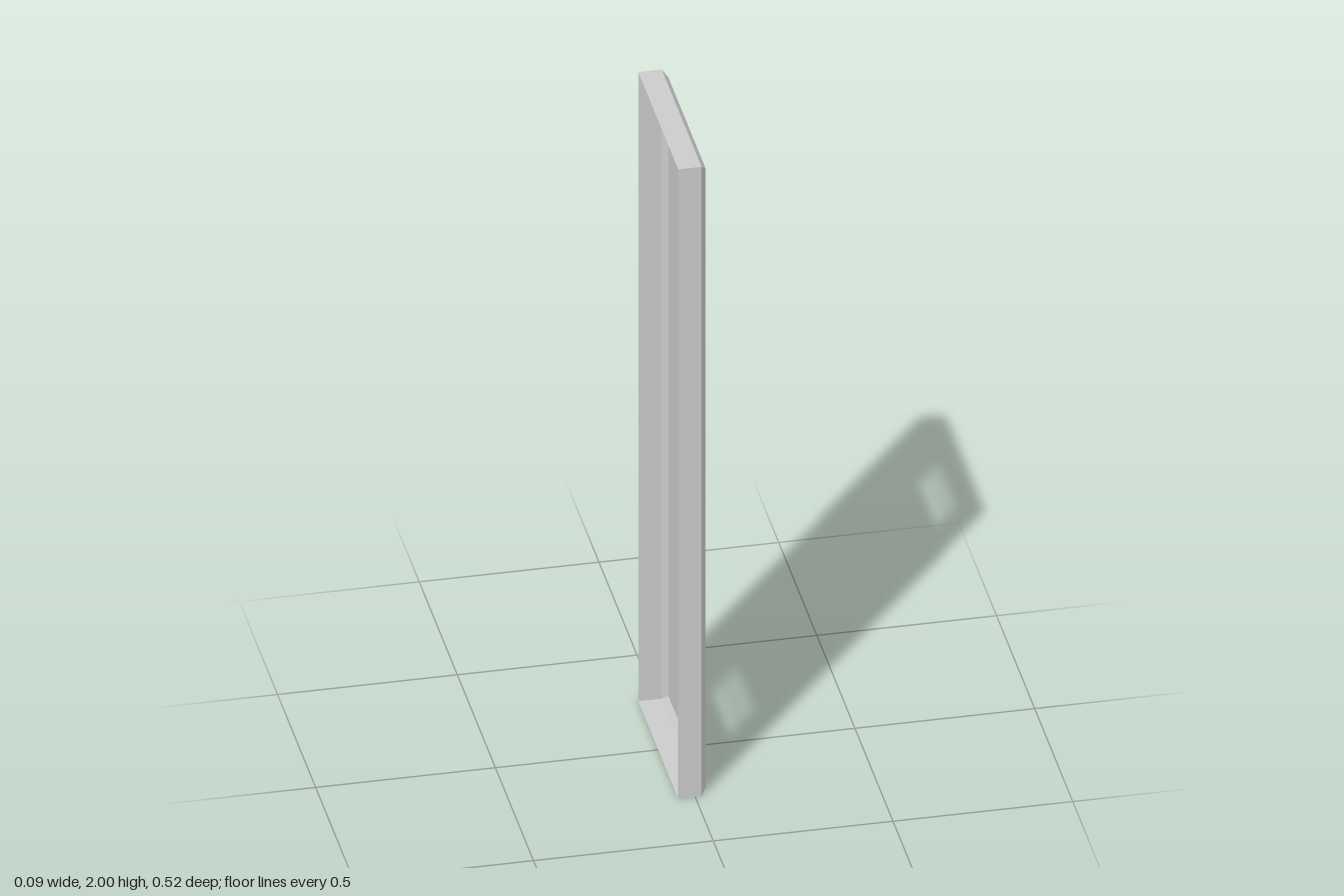
import * as THREE from 'three';
import { toCreasedNormals } from 'three/addons/utils/BufferGeometryUtils.js';

const material = new THREE.MeshStandardMaterial({ color: 0xcccccc, side: THREE.DoubleSide });

// Parts are drawn in a flat frame (u right, y up, d out of the door) and turned to face +x at the end.
const HALF = 0.262, BACK = -0.047, BEND = 0.018, FACE = 0.033, BEVEL = 0.017;

function addMesh(parent, name, geometry) {
  const mesh = new THREE.Mesh(geometry, material);
  mesh.name = name;
  parent.add(mesh);
  return mesh;
}

// Counter-clockwise outline; corners are [u, y, startAngle] arcs of radius r
function arcs(corners, r, steps = 6) {
  const pts = [];
  for (const [u, y, start] of corners)
    for (let i = 0; i <= steps; i++) {
      const a = start + (i / steps) * Math.PI / 2;
      pts.push([u + r * Math.cos(a), y + r * Math.sin(a)]);
    }
  return pts;
}

function roundRect(u0, u1, y0, y1, r) {
  return arcs([
    [u1 - r, y0 + r, -Math.PI / 2], [u1 - r, y1 - r, 0],
    [u0 + r, y1 - r, Math.PI / 2], [u0 + r, y0 + r, Math.PI],
  ], r);
}

// Flat bottom, rounded top corners
function arch(half, y0, y1, r) {
  return [[half, y0], ...arcs([[half - r, y1 - r, 0], [-half + r, y1 - r, Math.PI / 2]], r), [-half, y0]];
}

function rect(half, y0, y1) {
  return [[half, y0], [half, y1], [-half, y1], [-half, y0]];
}

// Skin between successive rings {pts, d}, with an optional cap on the last one
function loft(rings, { closed = true, cap = false, crease = 0.6 } = {}) {
  const pos = [];
  const put = (ring, i) => pos.push(...ring.pts[i % ring.pts.length], ring.d);
  const n = rings[0].pts.length;
  for (let k = 0; k < rings.length - 1; k++) {
    const a = rings[k], b = rings[k + 1];
    for (let i = 0; i < (closed ? n : n - 1); i++) {
      put(a, i); put(a, i + 1); put(b, i + 1);
      put(a, i); put(b, i + 1); put(b, i);
    }
  }
  if (cap) {
    const last = rings[rings.length - 1];
    for (let i = 1; i < n - 1; i++) { put(last, 0); put(last, i); put(last, i + 1); }
  }
  const geometry = new THREE.BufferGeometry();
  geometry.setAttribute('position', new THREE.Float32BufferAttribute(pos, 3));
  return toCreasedNormals(geometry, crease);
}

const toVectors = (pts) => pts.map(([u, y]) => new THREE.Vector2(u, y));

export function createModel() {
  const model = new THREE.Group();
  model.name = 'lockerDoor';
  const door = new THREE.Group();
  door.name = 'door';
  door.rotation.y = Math.PI / 2;
  model.add(door);

  // Folded sheet edge, open at the back
  addMesh(door, 'doorFrame', loft([
    { pts: rect(HALF, 0, 2), d: BACK },
    { pts: rect(HALF, 0, 2), d: BEND },
    { pts: rect(HALF - BEVEL, BEVEL, 2 - BEVEL), d: FACE },
  ], { crease: 0.1 }));

  const panel = new THREE.Shape(toVectors(rect(HALF - BEVEL, BEVEL, 2 - BEVEL)));

  // Two groups of four louvres, each a pressed hood open at its lower edge
  const ventHalf = 0.1215, ventHeight = 0.0395, pitch = 0.0435;
  const hood = [[0, FACE], [0.002, 0.039], [0.006, 0.043], [0.012, 0.0455], [0.02, 0.047]];
  for (const [name, top] of [['upperVents', 1.89], ['lowerVents', 0.418]]) {
    const vents = new THREE.Group();
    vents.name = name;
    door.add(vents);
    for (let i = 0; i < 4; i++) {
      const y1 = top - i * pitch, y0 = y1 - ventHeight;
      const rings = hood.map(([inset, d]) => ({
        pts: arch(ventHalf - inset, y0, y1 - inset, 0.022 - inset * 0.5), d,
      }));
      panel.holes.push(new THREE.Path(toVectors(rings[0].pts)));
      addMesh(vents, 'louvre', loft(rings, { closed: false, cap: true }));
    }
  }

  // Recessed handle cup, sloping more gently away from the door edge
  const cup = [[0, 0, FACE], [0.005, 0.005, 0.029], [0.01, 0.013, 0.021], [0.014, 0.024, 0.015], [0.018, 0.04, 0.012]];
  const cupRings = cup.map(([left, right, d]) => ({
    pts: roundRect(-0.205 + left, -0.09 - right, 0.88 + left, 1.125 - left, 0.03 - left), d,
  }));
  panel.holes.push(new THREE.Path(toVectors(cupRings[0].pts)));
  addMesh(door, 'handleCup', loft(cupRings, { cap: true }));

  // Upright pull bar standing in the cup
  const bar = addMesh(door, 'handleBar', new THREE.BoxGeometry(0.041, 0.215, 0.024));
  bar.position.set(-0.1665, 1.0025, 0.025);

  // Front sheet with its openings
  const sheet = addMesh(door, 'frontPanel', new THREE.ShapeGeometry(panel));
  sheet.position.z = FACE;

  return model;
}
